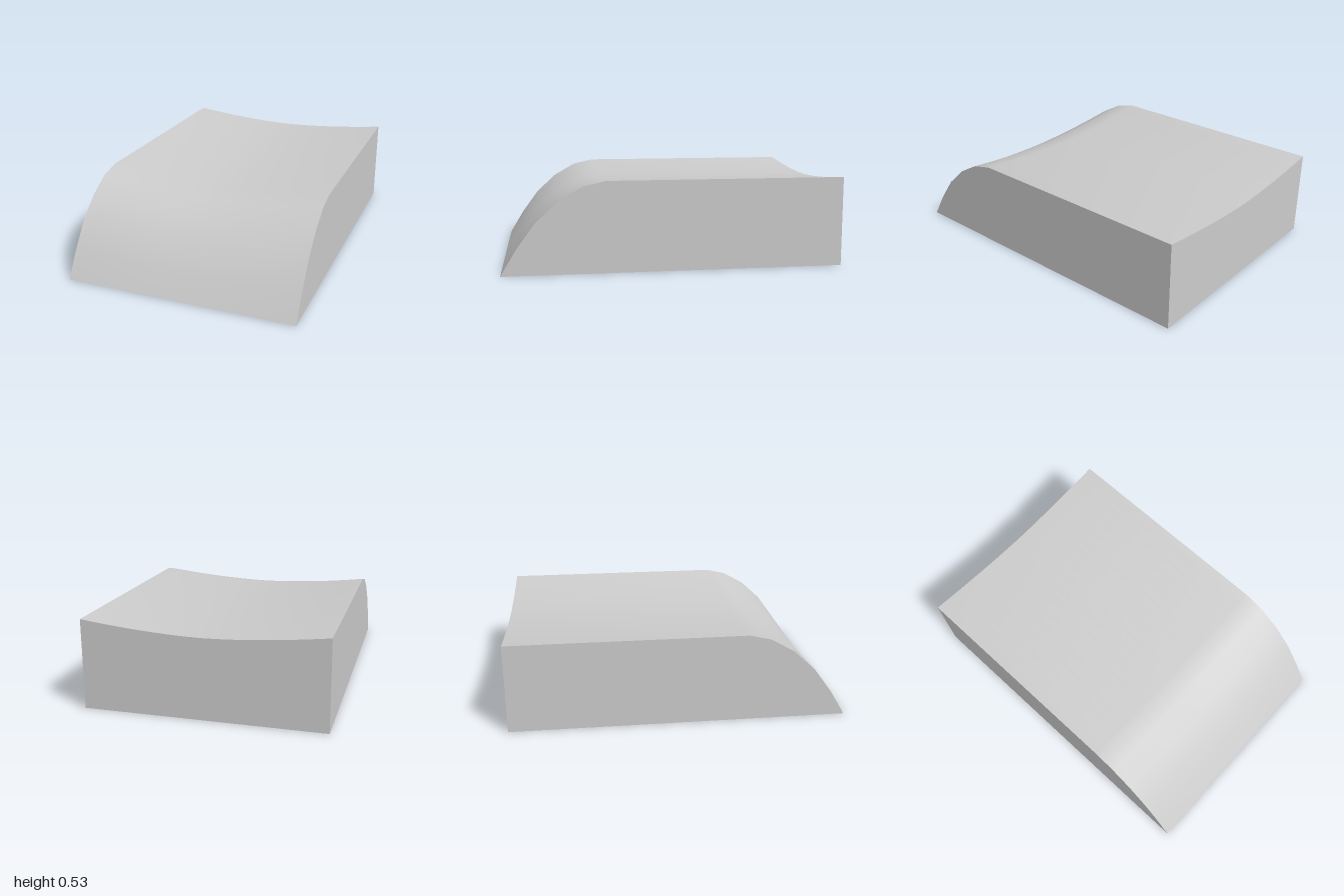
import * as THREE from 'three';
import { toCreasedNormals } from 'three/addons/utils/BufferGeometryUtils.js';

const HALF_WIDTH = 0.705;

export function createModel() {
  const group = new THREE.Group();
  group.name = 'dishedBlock';

  // Side profile (z, y): flat base, rounded nose, level top, upright back
  const profile = [
    [-1, 0], [1, 0], [0.91, 0.15], [0.8, 0.3], [0.67, 0.42],
    [0.53, 0.5], [0.4, 0.53], [-1, 0.53],
  ].map(([z, y]) => new THREE.Vector2(z, y));

  // Sweep the profile across the width
  const geometry = new THREE.ExtrudeGeometry(new THREE.Shape(profile), {
    depth: HALF_WIDTH * 2, steps: 16, bevelEnabled: false,
  });
  geometry.rotateY(-Math.PI / 2);
  geometry.translate(HALF_WIDTH, 0, 0);

  // Lower the middle so that the top is dished from side to side
  const pos = geometry.attributes.position;
  for (let i = 0; i < pos.count; i++) {
    const t = Math.min(1, Math.abs(pos.getX(i)) / HALF_WIDTH);
    pos.setY(i, pos.getY(i) * (0.897 + 0.103 * Math.pow(t, 1.7)));
  }

  // Smooth the nose and top, keep the outer edges sharp
  const body = new THREE.Mesh(
    toCreasedNormals(geometry, 0.6),
    new THREE.MeshStandardMaterial({ color: 0xcccccc }),
  );
  body.name = 'body';
  group.add(body);
  return group;
}
